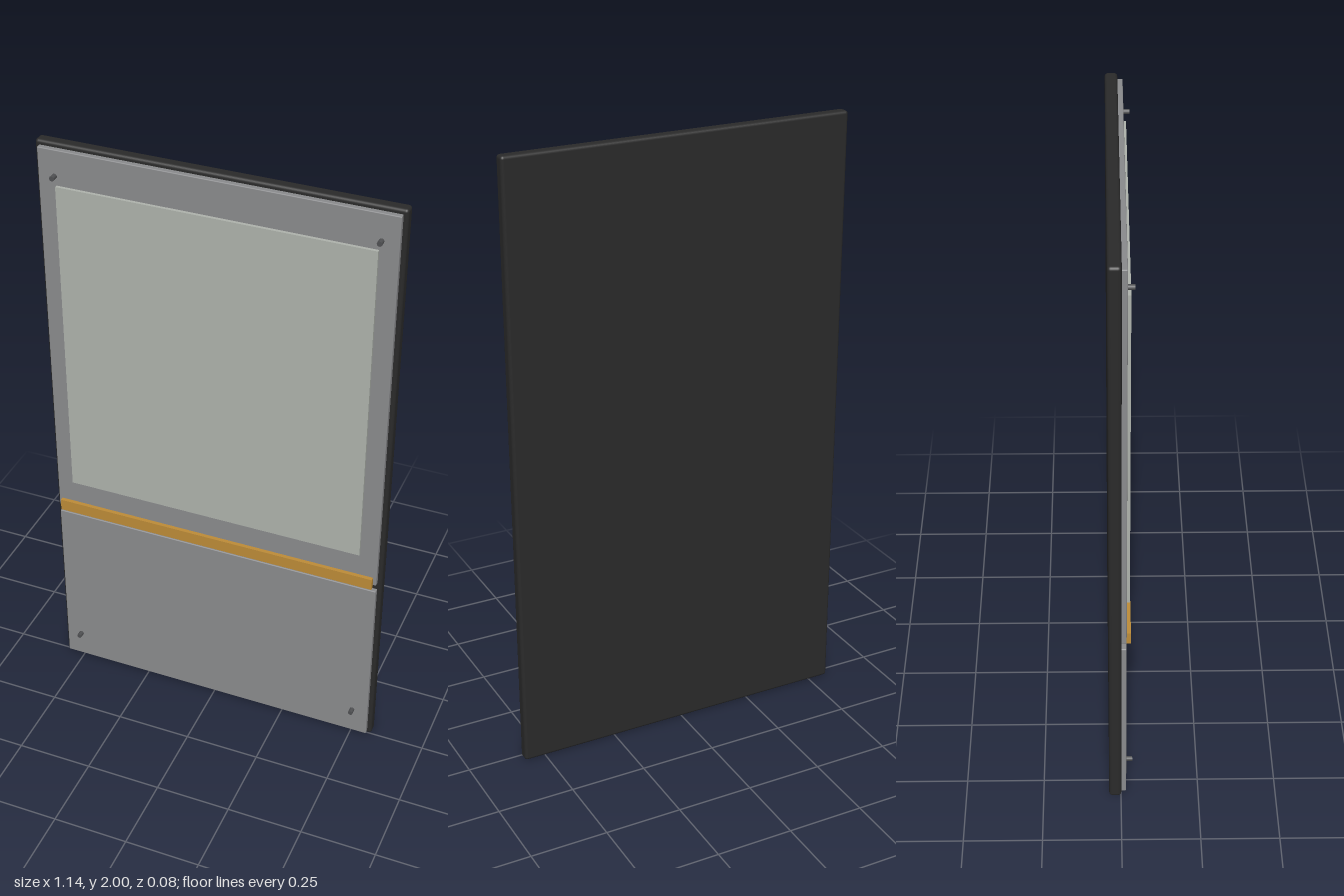
import * as THREE from 'three';
import { RoundedBoxGeometry } from 'three/addons/geometries/RoundedBoxGeometry.js';

function material(name, color) {
  const m = new THREE.MeshStandardMaterial({ color });
  m.name = name;
  return m;
}

export function createModel() {
  const group = new THREE.Group();
  group.name = 'wallPanel';
  const charcoal = material('charcoal', 0x2a2a2a);
  const grey = material('grey', 0x8a8b8d);
  const paleGlass = material('paleGlass', 0xaeb3ac);
  const brass = material('brass', 0xbd8c38);
  const steel = material('steel', 0x505153);

  // Adds a block from its extents; radius 0 keeps the edges square
  function slab(name, mat, halfWidth, y0, y1, z0, z1, radius = 0) {
    const size = [halfWidth * 2, y1 - y0, z1 - z0];
    const geometry = radius
      ? new RoundedBoxGeometry(...size, 3, radius)
      : new THREE.BoxGeometry(...size);
    const mesh = new THREE.Mesh(geometry, mat);
    mesh.name = name;
    mesh.position.set(0, (y0 + y1) / 2, (z0 + z1) / 2);
    group.add(mesh);
  }

  // Backing board and the two facing panels, with a gap between them
  slab('backBoard', charcoal, 0.57, 0, 2, -0.038, 0.001, 0.01);
  slab('lowerPanel', grey, 0.556, 0.01, 0.64, -0.002, 0.017, 0.003);
  slab('upperPanel', grey, 0.556, 0.665, 1.985, -0.002, 0.017, 0.003);

  // Raised pane and brass rail
  slab('pane', paleGlass, 0.498, 0.78, 1.87, 0.016, 0.027);
  slab('rail', brass, 0.545, 0.656, 0.696, 0.016, 0.03);

  // Corner screws
  const screw = new THREE.CylinderGeometry(0.008, 0.008, 0.021, 16).rotateX(Math.PI / 2);
  for (const x of [-0.503, 0.503]) {
    for (const y of [0.105, 1.9]) {
      const mesh = new THREE.Mesh(screw, steel);
      mesh.name = 'screw';
      mesh.position.set(x, y, 0.0265);
      group.add(mesh);
    }
  }
  return group;
}
